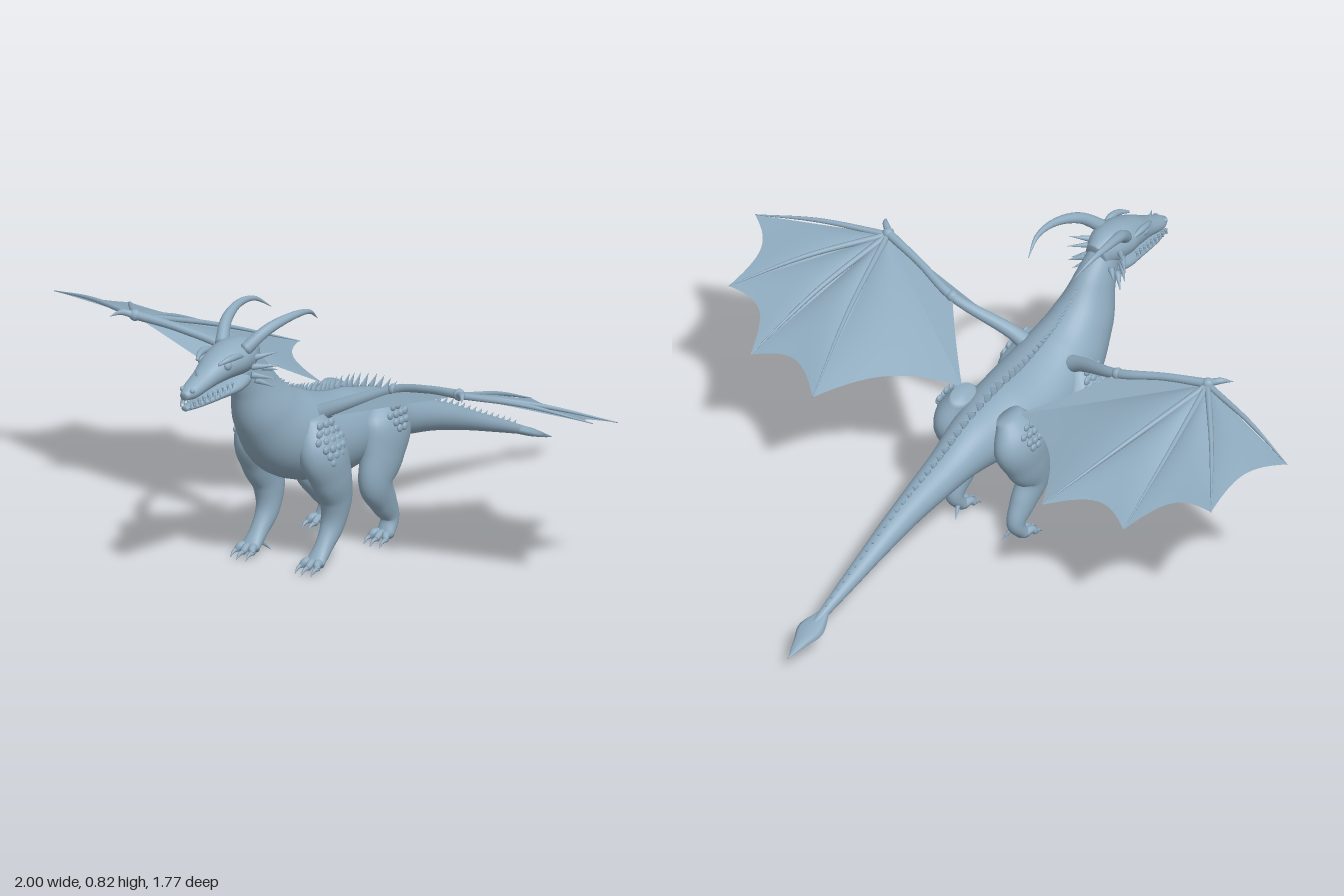
import * as THREE from 'three';
import { mergeGeometries } from 'three/addons/utils/BufferGeometryUtils.js';

const V = (x, y, z) => new THREE.Vector3(x, y, z);
const X = V(1, 0, 0), Y = V(0, 1, 0);

// A path with an elliptical section; each station is [x, y, z, sideRadius, otherRadius]
function spine(stations, ref = X) {
  const path = new THREE.CatmullRomCurve3(stations.map(s => V(s[0], s[1], s[2])));
  const radii = new THREE.CatmullRomCurve3(stations.map(s => V(s[3], s[4] ?? s[3], 0)), false, 'catmullrom', 0.4);
  const frame = t => {
    const tan = path.getTangent(t);
    const side = ref.clone().addScaledVector(tan, -ref.dot(tan)).normalize();
    const r = radii.getPoint(t);
    return { c: path.getPoint(t), tan, side, nrm: tan.clone().cross(side), rx: Math.max(r.x, 0), rn: Math.max(r.y, 0) };
  };
  return { path, frame };
}

// Closed tube over such a path
function loft(stations, { seg = 32, sides = 16, ref = X } = {}) {
  const { frame } = spine(stations, ref), pos = [], idx = [];
  for (let i = -1; i <= seg + 1; i++) {
    const f = frame(Math.min(Math.max(i / seg, 0), 1)), k = i < 0 || i > seg ? 0 : 1;
    for (let j = 0; j < sides; j++) {
      const a = j / sides * Math.PI * 2;
      const p = f.c.clone().addScaledVector(f.side, Math.cos(a) * f.rx * k).addScaledVector(f.nrm, Math.sin(a) * f.rn * k);
      pos.push(p.x, p.y, p.z);
    }
  }
  for (let i = 0; i < seg + 2; i++) for (let j = 0; j < sides; j++) {
    const a = i * sides + j, b = i * sides + (j + 1) % sides;
    idx.push(a, b, a + sides, b, b + sides, a + sides);
  }
  const g = new THREE.BufferGeometry();
  g.setAttribute('position', new THREE.Float32BufferAttribute(pos, 3));
  g.setIndex(idx);
  g.computeVertexNormals();
  return g;
}

// Pointed spike from base to tip
const spike = (b, t, r, rn = r, ref = X) =>
  loft([[b.x, b.y, b.z, r, rn], [t.x, t.y, t.z, 0.0004]], { seg: 3, sides: 8, ref });

// Skin panel fanned out from the wrist, with a scalloped outer edge from a to b
function panel(w, a, b, pull, sag) {
  const N = 14, pos = [], idx = [];
  for (let i = 0; i <= N; i++) for (let j = 0; j <= N; j++) {
    const u = i / N, v = j / N, bow = 4 * u * (1 - u);
    const p = w.clone().lerp(a.clone().lerp(b, u).lerp(w, pull * bow), v);
    pos.push(p.x, p.y + sag * bow * Math.sin(Math.PI * v), p.z);
    if (i < N && j < N) {
      const k = i * (N + 1) + j;
      idx.push(k, k + 1, k + N + 1, k + 1, k + N + 2, k + N + 1);
    }
  }
  const g = new THREE.BufferGeometry();
  g.setAttribute('position', new THREE.Float32BufferAttribute(pos, 3));
  g.setIndex(idx);
  g.computeVertexNormals();
  return g;
}

export function createModel() {
  const model = new THREE.Group();
  const hide = new THREE.MeshStandardMaterial({ color: 0x8fabbf, side: THREE.DoubleSide });
  hide.name = 'blue grey hide';
  const add = (name, geo, parent = model) => {
    const m = new THREE.Mesh(Array.isArray(geo) ? mergeGeometries(geo) : geo, hide);
    m.name = name;
    parent.add(m);
    return m;
  };
  const ball = (x, y, z, r, sx = 1, sy = 1, sz = 1) =>
    new THREE.SphereGeometry(r, 12, 8).scale(sx, sy, sz).translate(x, y, z);

  // Neck, trunk and tail in one sweep
  const bodyStations = [
    [0, 0.675, 0.60, 0.045, 0.055], [0, 0.605, 0.555, 0.058, 0.075], [0, 0.505, 0.50, 0.088, 0.105],
    [0, 0.41, 0.40, 0.12, 0.132], [0, 0.357, 0.25, 0.135, 0.13], [0, 0.348, 0.12, 0.122, 0.12],
    [0, 0.345, 0, 0.088, 0.092], [0, 0.31, -0.15, 0.063, 0.06], [0, 0.255, -0.35, 0.043, 0.042],
    [0, 0.182, -0.55, 0.028, 0.026], [0, 0.10, -0.76, 0.011, 0.012], [0, 0.07, -0.83, 0.004, 0.004]];
  add('body', loft(bodyStations, { seg: 110, sides: 32 }));
  add('tailBlade', loft([[0, 0.122, -0.70, 0.012, 0.012], [0, 0.093, -0.775, 0.043, 0.013],
    [0, 0.07, -0.83, 0.022, 0.008], [0, 0.048, -0.883, 0.001, 0.001]], { sides: 8 }));

  // Row of back spines, largest over the trunk
  const { path, frame } = spine(bodyStations), spines = [];
  for (let i = 0; i < 46; i++) {
    const u = 0.07 + i / 45 * 0.84, f = frame(path.getUtoTmapping(u));
    const h = 0.014 + 0.026 * Math.exp(-(((u - 0.42) / 0.22) ** 2));
    const base = f.c.clone().addScaledVector(f.nrm, -f.rn + 0.004);
    const tip = base.clone().addScaledVector(f.nrm, -h).addScaledVector(f.tan, h * 0.65);
    spines.push(spike(base, tip, 0.005, h * 0.42));
  }
  add('backSpines', spines);

  // Head
  const head = new THREE.Group();
  head.name = 'head';
  model.add(head);
  add('skull', loft([[0, 0.685, 0.56, 0.035, 0.045], [0, 0.70, 0.61, 0.058, 0.056], [0, 0.702, 0.66, 0.066, 0.054],
    [0, 0.692, 0.72, 0.055, 0.046], [0, 0.668, 0.79, 0.038, 0.031], [0, 0.648, 0.85, 0.029, 0.023],
    [0, 0.64, 0.88, 0.013, 0.012]], { seg: 40, sides: 24 }), head);
  add('lowerJaw', loft([[0, 0.64, 0.59, 0.04, 0.03], [0, 0.623, 0.66, 0.05, 0.026], [0, 0.612, 0.74, 0.038, 0.017],
    [0, 0.605, 0.82, 0.026, 0.012], [0, 0.602, 0.875, 0.012, 0.008]], { sides: 20 }), head);
  add('noseHorn', spike(V(0, 0.675, 0.81), V(0, 0.708, 0.822), 0.008), head);

  for (const s of [1, -1]) {
    const side = s > 0 ? 'left' : 'right';
    const at = (x, y, z) => V(s * x, y, z);
    const flip = rows => rows.map(([x, ...r]) => [s * x, ...r]);

    // Horns, eyes, cheek spikes and teeth
    add(side + 'Horn', loft(flip([[0.042, 0.73, 0.645, 0.02], [0.075, 0.782, 0.58, 0.017], [0.098, 0.806, 0.49, 0.012],
      [0.10, 0.80, 0.41, 0.007], [0.085, 0.762, 0.35, 0.001]]), { sides: 12 }), head);
    add(side + 'Eye', ball(s * 0.049, 0.706, 0.73, 0.014, 0.7, 1, 1.1), head);
    add(side + 'Brow', loft(flip([[0.04, 0.716, 0.765, 0.004], [0.052, 0.726, 0.735, 0.009],
      [0.056, 0.728, 0.70, 0.010], [0.056, 0.72, 0.66, 0.003]]), { seg: 16, sides: 8 }), head);
    add(side + 'Nostril', ball(s * 0.018, 0.657, 0.862, 0.008), head);
    add(side + 'CheekSpikes', [[0.70, 0.61, 0.045, 0.015], [0.675, 0.62, 0.055, 0], [0.65, 0.62, 0.045, -0.015],
      [0.63, 0.60, 0.035, -0.025], [0.66, 0.57, 0.03, -0.01]].map(([y, z, l, d]) =>
      spike(at(0.05, y, z), at(0.055 + l, y + d, z - l * 1.1), 0.011, 0.011, Y)), head);
    const teeth = [];
    for (let i = 0; i < 9; i++) {
      const z = 0.70 + i * 0.02, x = 0.042 - i * 0.0026, y = 0.645 - i * 0.0022;
      teeth.push(spike(at(x, y, z), at(x, y - 0.019, z), 0.004));
      teeth.push(spike(at(x - 0.003, 0.613 - i * 0.001, z + 0.01), at(x - 0.002, 0.634 - i * 0.001, z + 0.01), 0.003));
    }
    add(side + 'Teeth', teeth, head);

    // Legs
    add(side + 'FrontLeg', loft(flip([[0.085, 0.46, 0.375, 0.035, 0.045], [0.118, 0.37, 0.37, 0.06, 0.088],
      [0.128, 0.28, 0.34, 0.052, 0.074], [0.124, 0.20, 0.312, 0.043, 0.056], [0.12, 0.125, 0.322, 0.035, 0.038],
      [0.12, 0.065, 0.365, 0.028, 0.026], [0.12, 0.022, 0.41, 0.032, 0.018]]), { seg: 40, sides: 24 }));
    add(side + 'HindLeg', loft(flip([[0.085, 0.445, 0.045, 0.03, 0.045], [0.112, 0.365, 0.06, 0.06, 0.098],
      [0.122, 0.28, 0.088, 0.052, 0.084], [0.12, 0.20, 0.115, 0.044, 0.062], [0.116, 0.13, 0.075, 0.036, 0.046],
      [0.115, 0.07, 0.042, 0.027, 0.03], [0.115, 0.022, 0.065, 0.03, 0.018]]), { seg: 40, sides: 24 }));

    // Toes and claws
    for (const [name, cx, cz] of [['Front', 0.12, 0.40], ['Hind', 0.115, 0.065]]) {
      const toes = [], claws = [];
      for (const k of [-1, 0, 1]) {
        const x = cx + k * 0.016, e = cx + k * 0.029, z = cz + 0.042 - Math.abs(k) * 0.008;
        toes.push(loft(flip([[x, 0.026, cz, 0.014], [(x + e) / 2, 0.03, cz + 0.025, 0.012], [e, 0.018, z, 0.009]]),
          { seg: 10, sides: 10 }));
        claws.push(loft(flip([[e, 0.02, z - 0.004, 0.008], [e, 0.017, z + 0.016, 0.005], [e, 0.002, z + 0.032, 0.0005]]),
          { seg: 8, sides: 8 }));
      }
      claws.push(spike(at(cx - 0.015, 0.04, cz - 0.025), at(cx - 0.03, 0.008, cz - 0.055), 0.008));
      add(side + name + 'Toes', toes);
      add(side + name + 'Claws', claws);
    }

    // Patches of raised scales on shoulder and thigh
    const patch = (cy, cz, legZ, legR, rows, pitch) => rows.flatMap((n, r) => Array.from({ length: n }, (_, i) => {
      const y = cy + (rows.length / 2 - 0.5 - r) * pitch * 0.87, z = cz + (i - (n - 1) / 2) * pitch;
      const bulge = Math.sqrt(Math.max(0, 1 - ((z - legZ) / legR) ** 2));
      const x = 0.118 + 0.058 * bulge - Math.max(0, y - 0.38) * 0.55;
      return ball(s * x, y, z, pitch * 0.52, 0.55, 1, 1);
    }));
    add(side + 'ShoulderScales', patch(0.395, 0.375, 0.37, 0.088, [3, 4, 5, 4, 3, 2], 0.025));
    add(side + 'ThighScales', patch(0.395, 0.06, 0.06, 0.098, [2, 4, 3, 2], 0.023));

    // Wing
    const wing = new THREE.Group();
    wing.name = side + 'Wing';
    model.add(wing);
    const wrist = at(0.60, 0.622, 0.335), elbow = at(0.31, 0.565, 0.275), root = at(0.10, 0.455, 0.345);
    const inner = at(0.11, 0.445, 0.07);
    const tips = [at(0.998, 0.585, 0.21), at(0.905, 0.505, -0.03), at(0.70, 0.437, -0.185), at(0.43, 0.43, -0.23)];
    add('armBone', loft(flip([[0.05, 0.445, 0.345, 0.032], [0.13, 0.487, 0.33, 0.022], [0.31, 0.565, 0.275, 0.015],
      [0.46, 0.605, 0.305, 0.012], [0.605, 0.627, 0.338, 0.014]]), { ref: Y }), wing);
    add('elbowJoint', ball(s * 0.31, 0.566, 0.275, 0.018), wing);
    add('wristJoint', ball(s * 0.60, 0.626, 0.337, 0.018), wing);
    add('thumbClaw', loft(flip([[0.60, 0.626, 0.34, 0.012], [0.63, 0.635, 0.362, 0.009], [0.652, 0.625, 0.392, 0.0005]]),
      { seg: 12, sides: 8, ref: Y }), wing);
    add('fingers', tips.map(t => {
      const m = wrist.clone().lerp(t, 0.5).add(V(s * 0.008, 0.012, 0));
      return loft([[...wrist, 0.010], [...m, 0.007], [...t, 0.0015]], { seg: 16, sides: 8, ref: Y });
    }), wing);
    add('membrane', [panel(wrist, tips[0], tips[1], 0.13, 0.01), panel(wrist, tips[1], tips[2], 0.13, 0.012),
      panel(wrist, tips[2], tips[3], 0.12, 0.015), panel(wrist, tips[3], inner, 0.10, 0.015),
      panel(wrist, inner, elbow, 0.02, 0), panel(wrist, elbow, root, 0, 0)], wing);
  }
  return model;
}
